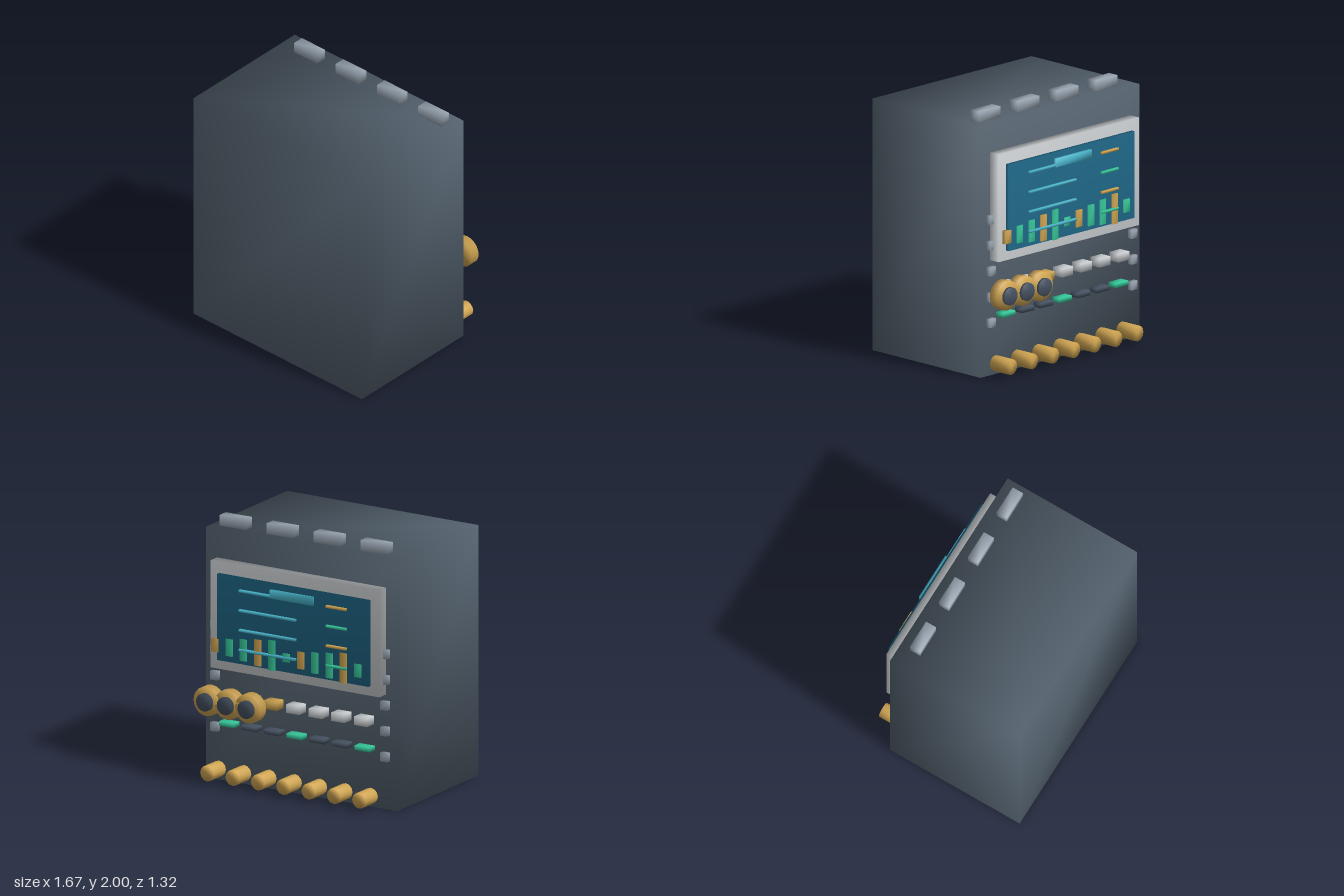
import * as THREE from 'three';
import { mergeVertices } from 'three/addons/utils/BufferGeometryUtils.js';

const mat = (name, color) => {
  const m = new THREE.MeshStandardMaterial({ color });
  m.name = name;
  return m;
};

// Weld the corners so normals run smoothly over the edges
function soften(geometry) {
  geometry.deleteAttribute('normal');
  geometry.deleteAttribute('uv');
  const welded = mergeVertices(geometry, 1e-4);
  welded.computeVertexNormals();
  return welded;
}

export function createModel() {
  const root = new THREE.Group();
  root.name = 'controlConsole';

  const slate = mat('slate', 0x566471);
  const steel = mat('steel', 0x98a4b1);
  const silver = mat('silver', 0xcdd1d4);
  const screenBlue = mat('screenBlue', 0x1f6888);
  const cyan = mat('cyan', 0x48b6cc);
  const green = mat('green', 0x36c89a);
  const gold = mat('gold', 0xd0a552);
  const dark = mat('darkSlate', 0x465262);

  const add = (name, geometry, material, x, y, z) => {
    const mesh = new THREE.Mesh(soften(geometry), material);
    mesh.name = name;
    mesh.position.set(x, y, z);
    root.add(mesh);
    return mesh;
  };
  // Box from centre x, y, size w, h and its z range
  const box = (name, material, x, y, w, h, z0, z1) =>
    add(name, new THREE.BoxGeometry(w, h, z1 - z0), material, x, y, (z0 + z1) / 2);
  // Cylinder pointing along z
  const disc = (name, material, x, y, r, z0, z1, sides) =>
    add(name, new THREE.CylinderGeometry(r, r, z1 - z0, sides).rotateX(Math.PI / 2),
      material, x, y, (z0 + z1) / 2);

  // Cabinet and the blocks along its top
  box('cabinet', slate, 0, 0.96, 1.67, 1.92, -0.455, 0.66);
  for (let i = 0; i < 4; i++) {
    box('topBlock', steel, -0.575 + 0.41 * i, 1.958, 0.228, 0.084, -0.372, -0.285);
  }

  // Screen with its frame on the back
  box('screenFrame', silver, 0, 1.29, 1.475, 0.82, -0.546, -0.455);
  box('screen', screenBlue, 0, 1.285, 1.32, 0.66, -0.575, -0.54);
  box('screenTitleBar', cyan, 0, 1.54, 0.375, 0.064, -0.6, -0.57);

  // Text lines and short readouts
  for (let i = 0; i < 4; i++) {
    const y = 1.52 - 0.151 * i;
    box('screenLine', cyan, 0.213, y, 0.49, 0.018, -0.597, -0.572);
    box('screenReadout', i % 2 ? green : gold, -0.388, y, 0.175, 0.018, -0.597, -0.572);
  }

  // Bar chart
  const heights = [0.1, 0.13, 0.165, 0.2, 0.23, 0.065, 0.13, 0.16, 0.19, 0.23, 0.1];
  heights.forEach((h, i) => {
    box('chartBar', i % 3 ? green : gold, 0.675 - 0.1245 * i, 1.067, 0.058, h, -0.587, -0.555);
  });

  // Lugs down both sides
  for (const side of [-1, 1]) {
    for (let i = 0; i < 5; i++) {
      box('sideLug', steel, side * 0.743, 1.195 - 0.197 * i, 0.062, 0.066, -0.495, -0.455);
    }
  }

  // Two rows of keys and a row of knobs
  for (let i = 0; i < 7; i++) {
    const x = -0.575 + 0.197 * i;
    box('upperKey', i === 4 ? gold : silver, x, 0.668, 0.115, 0.065, -0.55, -0.455);
    box('lowerKey', i % 3 ? dark : green, x, 0.455, 0.13, 0.035, -0.53, -0.455);
    disc('lowerKnob', gold, -0.623 + 0.221 * i, 0.093, 0.06, -0.645, -0.48, 12);
  }

  // Three large dials with dark caps
  for (let i = 0; i < 3; i++) {
    const x = 0.36 + 0.181 * i;
    disc('dial', gold, x, 0.638, 0.112, -0.625, -0.55, 20);
    disc('dialCap', dark, x, 0.638, 0.068, -0.66, -0.637, 20);
  }

  return root;
}
